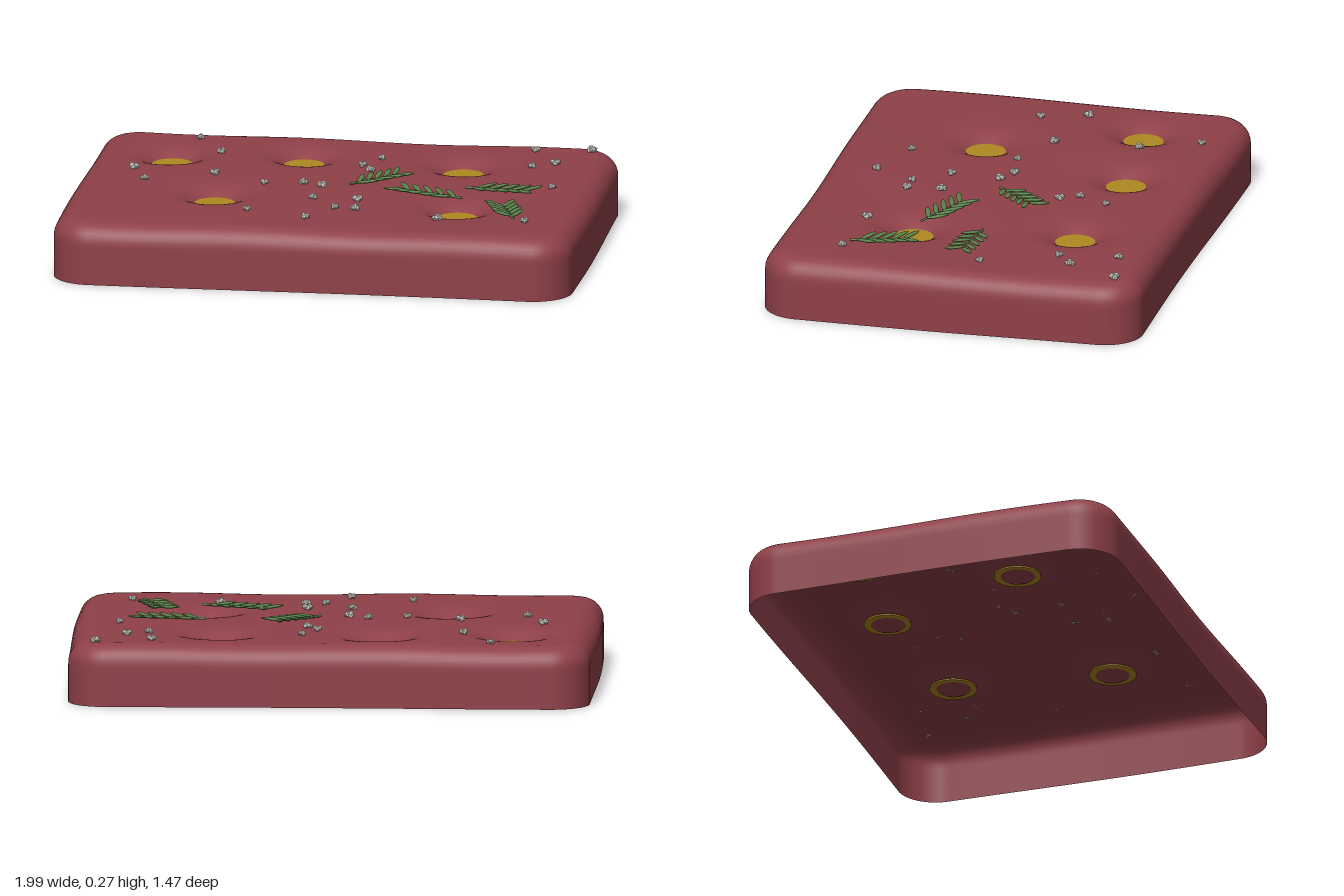
import * as THREE from 'three';

const mat = (name, color, side = THREE.FrontSide) => {
  const m = new THREE.MeshStandardMaterial({ color, side });
  m.name = name;
  return m;
};

const DIMPLES = [[-0.68, -0.355], [-0.19, -0.415], [0.43, -0.37], [-0.435, 0.19], [0.495, 0.245]];
const SALT = [
  [-0.61, -0.605], [-0.5, -0.39], [-0.79, -0.12], [-0.725, 0.05], [-0.475, -0.065], [-0.27, 0.03],
  [-0.125, 0.005], [-0.05, 0.04], [0.055, -0.295], [0.095, -0.225], [0.11, -0.41], [0.67, -0.595],
  [0.88, -0.63], [0.69, -0.37], [0.77, -0.43], [0.81, -0.09], [-0.055, 0.23], [0.115, 0.23],
  [0.05, 0.36], [0.125, 0.36], [-0.275, 0.44], [-0.04, 0.52], [0.45, 0.435], [0.785, 0.45],
];
// base and tip of each herb sprig: x, z, height above the crust
const SPRIGS = [
  [[0.055, 0.015, 0.008], [0.2, -0.13, 0.012]],
  [[0.49, -0.025, 0.008], [0.71, 0.0, 0.012]],
  [[0.51, 0.21, 0.03], [0.28, 0.115, 0.024]],
  [[0.74, 0.43, 0.01], [0.67, 0.24, 0.012]],
];

const HX = 0.99, HZ = 0.73, CORNER = 0.15, BEVEL = 0.08, TOP = 0.24, BOTTOM = 0.006;

// gently uneven top, without the dimples
const swell = (x, z) =>
  TOP + 0.005 * Math.sin(3.1 * x + 2.9) * Math.cos(2.3 * z) + 0.003 * Math.sin(7 * x + 5 * z);

function crustHeight(x, z) {
  let y = swell(x, z);
  for (const [dx, dz] of DIMPLES) {
    const d2 = (x - dx) ** 2 + (z - dz) ** 2;
    y -= 0.07 * Math.exp(-d2 / (2 * 0.07 ** 2));
  }
  return y;
}

// Sheet folded down over a rounded rectangle: flat top, round edge, upright wall
function crustGeometry() {
  const ix = HX - CORNER, iz = HZ - CORNER, flat = CORNER - BEVEL;
  const arc = BEVEL * Math.PI / 2, wall = TOP - BEVEL - BOTTOM;
  const reach = flat + arc + wall;
  const g = new THREE.PlaneGeometry(2 * (ix + reach), 2 * (iz + reach), 150, 120);
  g.rotateX(-Math.PI / 2);
  const p = g.attributes.position;
  for (let i = 0; i < p.count; i++) {
    const px = p.getX(i), pz = p.getZ(i);
    const qx = Math.max(Math.abs(px) - ix, 0), qz = Math.max(Math.abs(pz) - iz, 0);
    const m = Math.max(qx, qz), len = Math.hypot(qx, qz) || 1;
    let out = m, drop = 0;
    if (m > flat) {
      const a = Math.min((m - flat) / BEVEL, Math.PI / 2);
      out = flat + BEVEL * Math.sin(a);
      drop = BEVEL * (1 - Math.cos(a)) + Math.max(m - flat - arc, 0);
    }
    let x = Math.sign(px) * (Math.min(Math.abs(px), ix) + out * qx / len);
    let z = Math.sign(pz) * (Math.min(Math.abs(pz), iz) + out * qz / len);
    // the unevenness fades out towards the foot of the wall
    const fade = 1 - drop / (TOP - BOTTOM);
    const y = TOP - drop + (crustHeight(x, z) - TOP) * fade;
    const wx = x * (1 + 0.005 * Math.sin(4 * z + 1));
    z *= 1 + 0.007 * Math.sin(3.2 * x + 4);
    x = wx;
    p.setXYZ(i, x, y, z);
  }
  g.computeVertexNormals();
  return g;
}

export function createModel() {
  const model = new THREE.Group();
  model.name = 'flatbread';
  const crustMat = mat('crust red', 0x8f4048, THREE.DoubleSide);
  const oilMat = mat('golden oil', 0xb08a20);
  const herbMat = mat('herb green', 0x5a8048);
  const saltMat = mat('salt white', 0xe6e2da);
  saltMat.flatShading = true;

  const add = (parent, name, geo, material) => {
    const mesh = new THREE.Mesh(geo, material);
    mesh.name = name;
    parent.add(mesh);
    return mesh;
  };

  add(model, 'crust', crustGeometry(), crustMat);

  // oil pools lying in the dimples
  const oilGeo = new THREE.CylinderGeometry(0.09, 0.09, 0.006, 32);
  for (const [x, z] of DIMPLES)
    add(model, 'oilPool', oilGeo, oilMat).position.set(x, swell(x, z) - 0.042, z);

  // salt: little clusters of crystals
  const crystal = new THREE.IcosahedronGeometry(0.011, 0);
  SALT.forEach(([x, z], i) => {
    const cluster = new THREE.Group();
    cluster.name = 'saltFlake';
    for (let k = 0; k < 4; k++) {
      const a = k * Math.PI / 2 + i;
      const c = add(cluster, 'crystal', crystal, saltMat);
      c.position.set(0.009 * Math.cos(a), 0.004 * (k % 2), 0.009 * Math.sin(a));
      c.rotation.set(a, i * 1.7, k);
    }
    cluster.position.set(x, crustHeight(x, z) + 0.007, z);
    cluster.scale.setScalar(0.85 + 0.25 * ((i * 7) % 5) / 4);
    model.add(cluster);
  });

  // herb sprigs: a stem with paired slender leaves
  const leafGeo = new THREE.SphereGeometry(1, 10, 8);
  leafGeo.rotateX(Math.PI / 2).scale(0.011, 0.006, 0.045).translate(0, 0, 0.042);
  for (const [b, t] of SPRIGS) {
    const base = new THREE.Vector3(b[0], swell(b[0], b[1]) + b[2], b[1]);
    const tip = new THREE.Vector3(t[0], swell(t[0], t[1]) + t[2], t[1]);
    const length = base.distanceTo(tip);
    const sprig = new THREE.Group();
    sprig.name = 'herbSprig';
    sprig.position.copy(base);
    sprig.lookAt(tip);
    const stemGeo = new THREE.CylinderGeometry(0.003, 0.005, length, 6);
    stemGeo.rotateX(Math.PI / 2).translate(0, 0, length / 2);
    add(sprig, 'stem', stemGeo, herbMat);
    for (let k = 0; k < 5; k++) {
      for (const s of [-1, 1]) {
        const leaf = add(sprig, 'leaf', leafGeo, herbMat);
        leaf.position.z = length * (0.16 + 0.2 * k + 0.03 * s);
        leaf.rotation.set(-0.1, s * 0.7, 0, 'YXZ');
      }
    }
    model.add(sprig);
  }
  return model;
}
